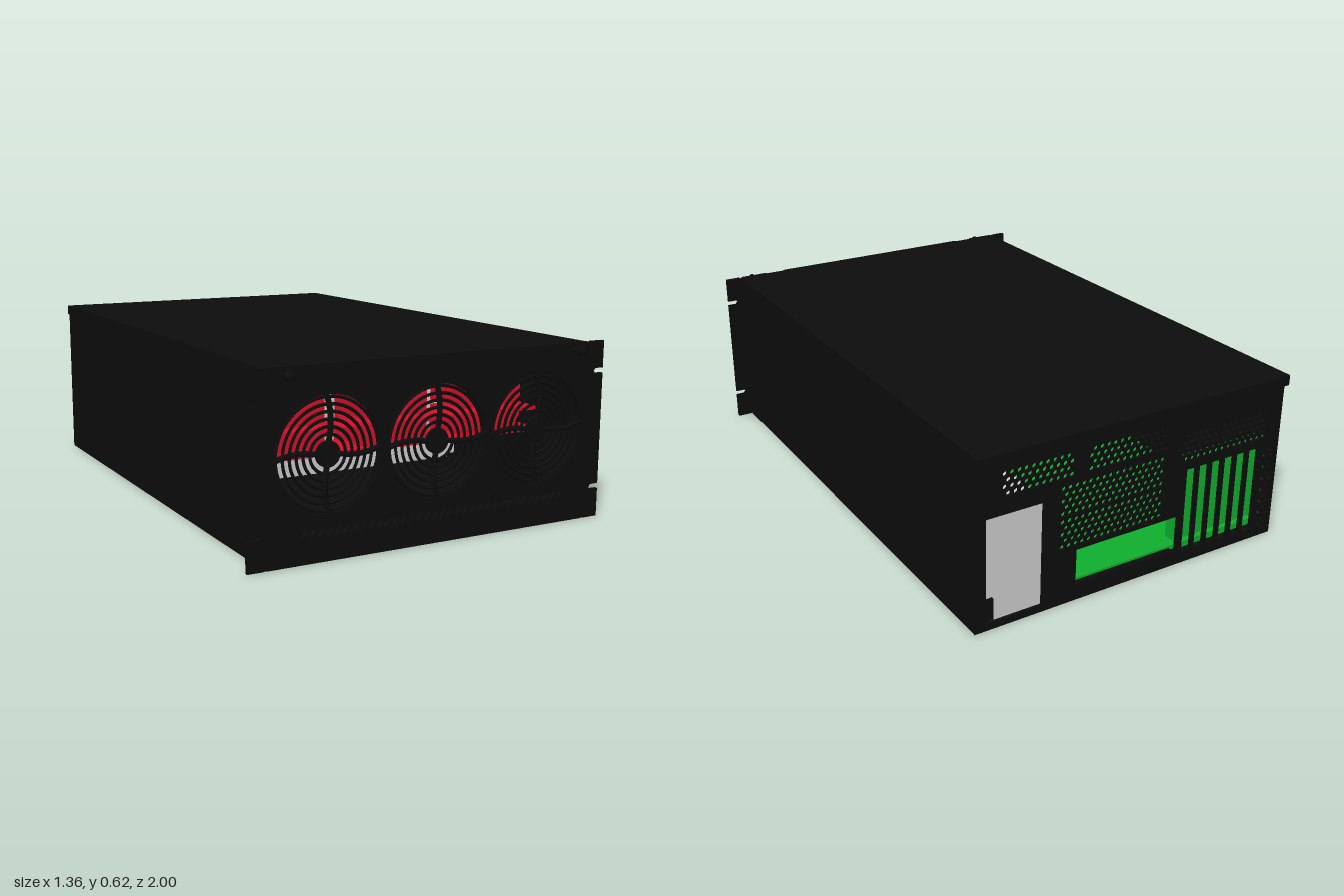
import * as THREE from 'three';

const mat = (name, color) => {
  const m = new THREE.MeshStandardMaterial({ color });
  m.name = name;
  return m;
};

export function createModel() {
  const black = mat('black steel', 0x0d0d0d);
  const grey = mat('light grey metal', 0xd0d0d0);
  const red = mat('red', 0xd41029);
  const green = mat('circuit green', 0x10b02e);
  const group = new THREE.Group();
  group.name = 'rackCase';

  const add = (name, geo, m, x = 0, y = 0, z = 0, parent = group) => {
    const mesh = new THREE.Mesh(geo, m);
    mesh.name = name;
    mesh.position.set(x, y, z);
    parent.add(mesh);
    return mesh;
  };
  // Box given by its limits
  const box = (name, m, x0, x1, y0, y1, z0, z1) =>
    add(name, new THREE.BoxGeometry(x1 - x0, y1 - y0, z1 - z0), m, (x0 + x1) / 2, (y0 + y1) / 2, (z0 + z1) / 2);
  const poly = pts => new THREE.Shape(pts.map(p => new THREE.Vector2(...p)));
  const rect = (x0, x1, y0, y1) => poly([[x0, y0], [x1, y0], [x1, y1], [x0, y1]]);
  const round = (x, y, r, n) => poly(Array.from({ length: n }, (_, i) => {
    const a = (i + 0.5) / n * Math.PI * 2;
    return [x + r * Math.cos(a), y + r * Math.sin(a)];
  }));
  const plate = (shape, holes, depth) => {
    shape.holes.push(...holes);
    return new THREE.ExtrudeGeometry(shape, { depth, bevelEnabled: false });
  };

  // Floor and overhanging lid
  box('floor', black, -0.615, 0.615, 0, 0.01, -0.98, 0.95);
  box('lid', black, -0.615, 0.615, 0.61, 0.62, -1, 0.95);
  box('lidRearLip', black, -0.615, 0.615, 0.583, 0.612, -1, -0.98);
  for (const s of [-1, 1]) box('frontCornerFlange', black, s * 0.614 - 0.004, s * 0.614 + 0.004, 0, 0.615, 0.83, 0.945);

  // Side walls with screw holes, drawn in z and y
  const screwHoles = [[0.87, 0.555], [0.87, 0.08], [0.83, 0.49], [0.83, 0.39], [0.83, 0.24], [0.465, 0.49],
    [0.465, 0.39], [0.465, 0.24], [0.7, 0.1], [0.7, 0.035], [0.5, 0.1], [0.5, 0.035], [0.04, 0.39], [-0.235, 0.39],
    [-0.325, 0.39], [-0.77, 0.39], [-0.83, 0.39], [0.47, 0.6], [-0.05, 0.6], [-0.62, 0.6], [-0.955, 0.565]];
  for (const s of [-1, 1]) {
    const holes = screwHoles.map(([z, y]) => round(z, y, 0.005, 8));
    const geo = plate(rect(-0.98, 0.945, 0, 0.612), holes, 0.01);
    geo.rotateY(-Math.PI / 2);
    add('sideWall', geo, black, s > 0 ? 0.615 : -0.605);
  }

  // Front plate with rack ears, fan openings and slanted vents
  const half = [[0.607, 0], [0.613, 0.01], [0.62, 0], [0.678, 0], [0.678, 0.1], [0.645, 0.1], [0.638, 0.108],
    [0.645, 0.118], [0.678, 0.118], [0.678, 0.51], [0.645, 0.51], [0.638, 0.519], [0.645, 0.528], [0.678, 0.528],
    [0.678, 0.622], [0.62, 0.622], [0.613, 0.612], [0.607, 0.622], [0.5, 0.622], [0.49, 0.616], [0.43, 0.616], [0.42, 0.622]];
  const outline = [...half, ...half.map(([x, y]) => [-x, y]).reverse()];
  const fanX = [-0.4, 0, 0.4], fanY = 0.34;
  const frontHoles = fanX.map(x => round(x, fanY, 0.187, 64));
  for (let i = 0; i < 34; i++) {
    const x = -0.5 + i * 0.03;
    frontHoles.push(poly([[x, 0.085], [x + 0.012, 0.085], [x + 0.03, 0.107], [x + 0.018, 0.107]]));
  }
  add('frontPlate', plate(poly(outline), frontHoles, 0.012), black, 0, 0, 0.94);

  // Wire fan guards: rings, hub and four curved spokes
  for (const x of fanX) {
    const guard = new THREE.Group();
    guard.name = 'fanGuard';
    guard.position.set(x, fanY, 0.946);
    group.add(guard);
    for (let r = 0.062; r < 0.185; r += 0.0235)
      add('guardRing', new THREE.TorusGeometry(r, 0.0055, 6, 56), black, 0, 0, 0, guard);
    const hub = add('guardHub', new THREE.CylinderGeometry(0.042, 0.042, 0.012, 32), black, 0, 0, 0, guard);
    hub.rotation.x = Math.PI / 2;
    const curve = new THREE.QuadraticBezierCurve3(
      new THREE.Vector3(0.02, 0, 0), new THREE.Vector3(0.11, -0.035, 0), new THREE.Vector3(0.19, -0.012, 0));
    for (let i = 0; i < 4; i++)
      add('guardSpoke', new THREE.TubeGeometry(curve, 12, 0.009, 6), black, 0, 0, 0, guard).rotation.z = i * Math.PI / 2 + 0.1;
    // Screws at the corners of each guard
    for (const sx of [-1, 1]) for (const sy of [-1, 1]) {
      const screw = add('guardScrew', new THREE.CylinderGeometry(0.009, 0.009, 0.006, 12), black, sx * 0.185, sy * 0.21, 0.007, guard);
      screw.rotation.x = Math.PI / 2;
    }
  }

  // Thumb screws
  for (const s of [-1, 1]) {
    const pts = [[0, 0], [0.009, 0], [0.009, 0.022], [0.016, 0.026], [0.016, 0.044], [0.012, 0.05], [0, 0.05]];
    const geo = new THREE.LatheGeometry(pts.map(p => new THREE.Vector2(...p)), 20);
    add('thumbScrew', geo, black, s * 0.55, 0.597, 0.95).rotation.x = Math.PI / 2;
  }

  // Back plate: supply opening, port opening, card slots and vent meshes
  const backHoles = [rect(0.365, 0.575, 0.025, 0.4), rect(-0.18, 0.235, 0.06, 0.19)];
  for (let i = 0; i < 6; i++) backHoles.push(rect(-0.245 - i * 0.055, -0.207 - i * 0.055, 0.04, 0.36));
  const mesh = (x0, x1, y0, y1) => {
    const p = 0.026;
    for (let j = 0; y0 + j * p * 0.87 < y1; j++)
      for (let x = x0 + (j % 2) * p / 2; x < x1; x += p)
        backHoles.push(round(x, y0 + j * p * 0.87, 0.01, 6));
  };
  mesh(0.26, 0.51, 0.47, 0.54);
  mesh(-0.1, 0.19, 0.47, 0.555);
  mesh(-0.1, 0.3, 0.335, 0.445);
  mesh(-0.1, 0.3, 0.215, 0.31);
  mesh(-0.54, -0.18, 0.4, 0.5);
  mesh(-0.585, -0.55, 0.05, 0.36);
  add('backPlate', plate(rect(-0.61, 0.61, 0, 0.6), backHoles, 0.01), black, 0, 0, -0.98);

  // Power supply with socket
  box('powerSupply', grey, 0.36, 0.58, 0.02, 0.41, -0.968, -0.55);
  box('powerSocket', black, 0.545, 0.575, 0.03, 0.11, -0.976, -0.967);

  // Main board and cards
  box('mainBoard', green, -0.58, 0.235, 0.06, 0.068, -0.96, -0.1);
  box('upperBoard', green, -0.18, 0.2, 0.19, 0.198, -0.93, -0.6);
  box('cardBlock', green, -0.595, -0.2, 0.03, 0.37, -0.94, -0.9);
  box('expansionCard', green, -0.52, -0.28, 0.07, 0.27, 0.17, 0.2);
  for (const [a, b] of [[-0.11, 0.12], [0.28, 0.51]]) box('boardEdge', green, a, b, 0.186, 0.194, 0.2, 0.3);

  // Inner divider and tray
  box('divider', grey, -0.27, 0.6, 0.08, 0.56, 0.18, 0.2);
  box('divider', grey, -0.6, -0.27, 0.272, 0.56, 0.18, 0.2);
  box('divider', grey, -0.6, -0.525, 0.1, 0.272, 0.18, 0.2);
  box('tray', grey, -0.25, 0.58, 0.06, 0.075, -0.09, 0.18);

  // Red drive carriers on two rails
  for (const x of fanX) {
    box('driveCarrierUpper', red, x - 0.125, x + 0.125, 0.375, 0.51, 0.5, 0.7);
    box('driveCarrierLower', red, x - 0.125, x + 0.125, 0.268, 0.36, 0.5, 0.7);
  }
  for (const y of [0.268, 0.345, 0.5]) box('driveRail', red, -0.6, 0.6, y, y + 0.012, 0.55, 0.705);
  for (const s of [-1, 1]) box('latchTab', red, s * 0.54 - 0.015, s * 0.54 + 0.015, 0.585, 0.6, 0.925, 0.94);

  return group;
}
